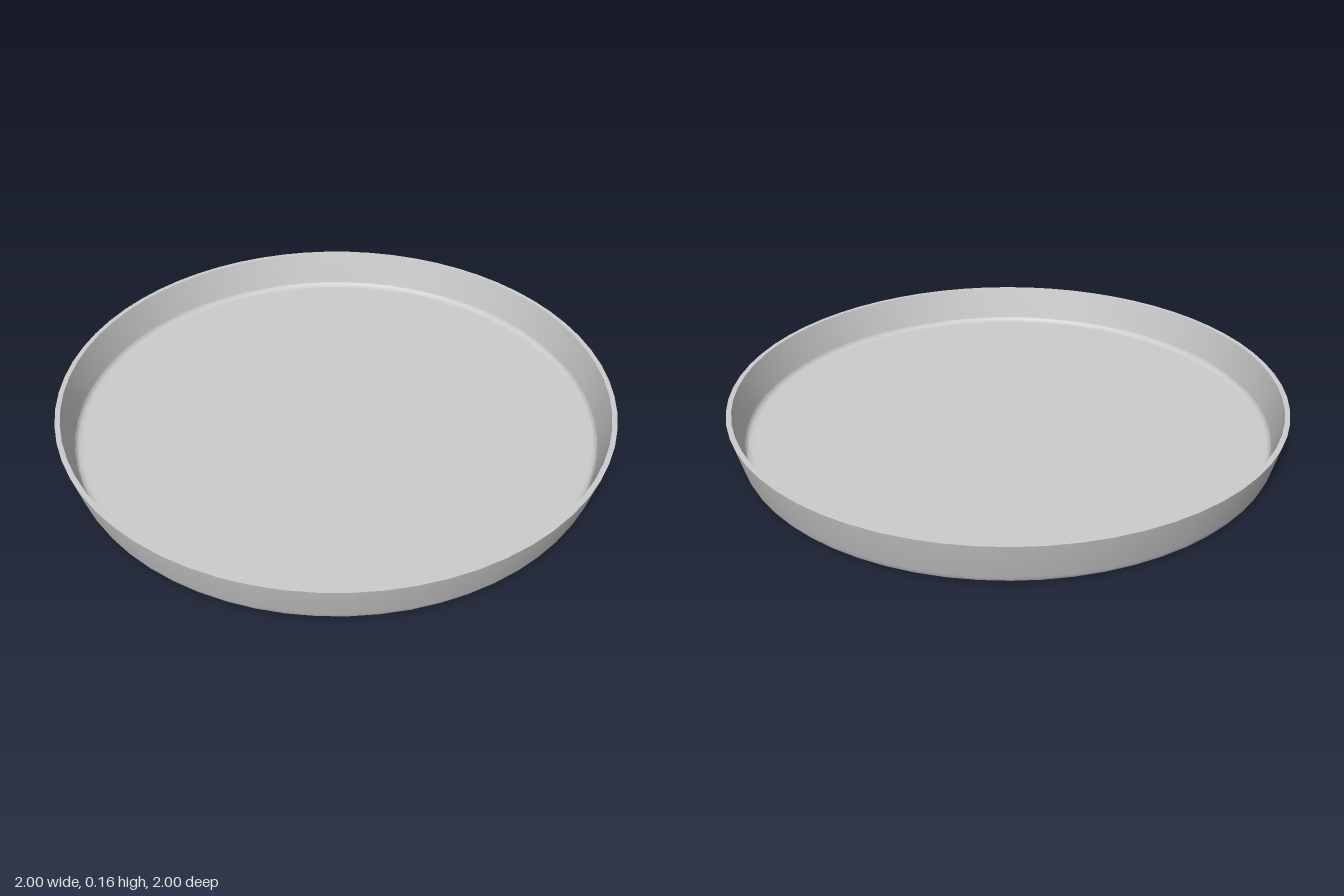
import * as THREE from 'three';
import { toCreasedNormals } from 'three/addons/utils/BufferGeometryUtils.js';

// Points along a rounded corner, from angle a0 to a1 (degrees)
function arc(cx, cy, r, a0, a1, steps = 5) {
  const points = [];
  for (let i = 0; i <= steps; i++) {
    const a = THREE.MathUtils.degToRad(a0 + ((a1 - a0) * i) / steps);
    points.push(new THREE.Vector2(cx + r * Math.cos(a), cy + r * Math.sin(a)));
  }
  return points;
}

export function createModel() {
  const group = new THREE.Group();
  group.name = 'roundTray';
  const p = (x, y) => new THREE.Vector2(x, y);

  // Closed cross-section: underside, flared outer wall, flat rim, inner wall, floor
  const profile = [
    p(0, 0),
    p(0.93, 0),
    ...arc(0.942, 0.022, 0.022, -90, -14),
    p(0.967, 0.026),
    p(1, 0.155),
    p(0.982, 0.155),
    p(0.952, 0.04),
    ...arc(0.929, 0.037, 0.022, -14, -90),
    p(0.917, 0.015),
    p(0, 0.015),
  ];
  const geometry = toCreasedNormals(new THREE.LatheGeometry(profile, 64), Math.PI / 5);
  const tray = new THREE.Mesh(geometry, new THREE.MeshStandardMaterial({ color: 0xcccccc }));
  tray.name = 'tray';
  group.add(tray);

  return group;
}
